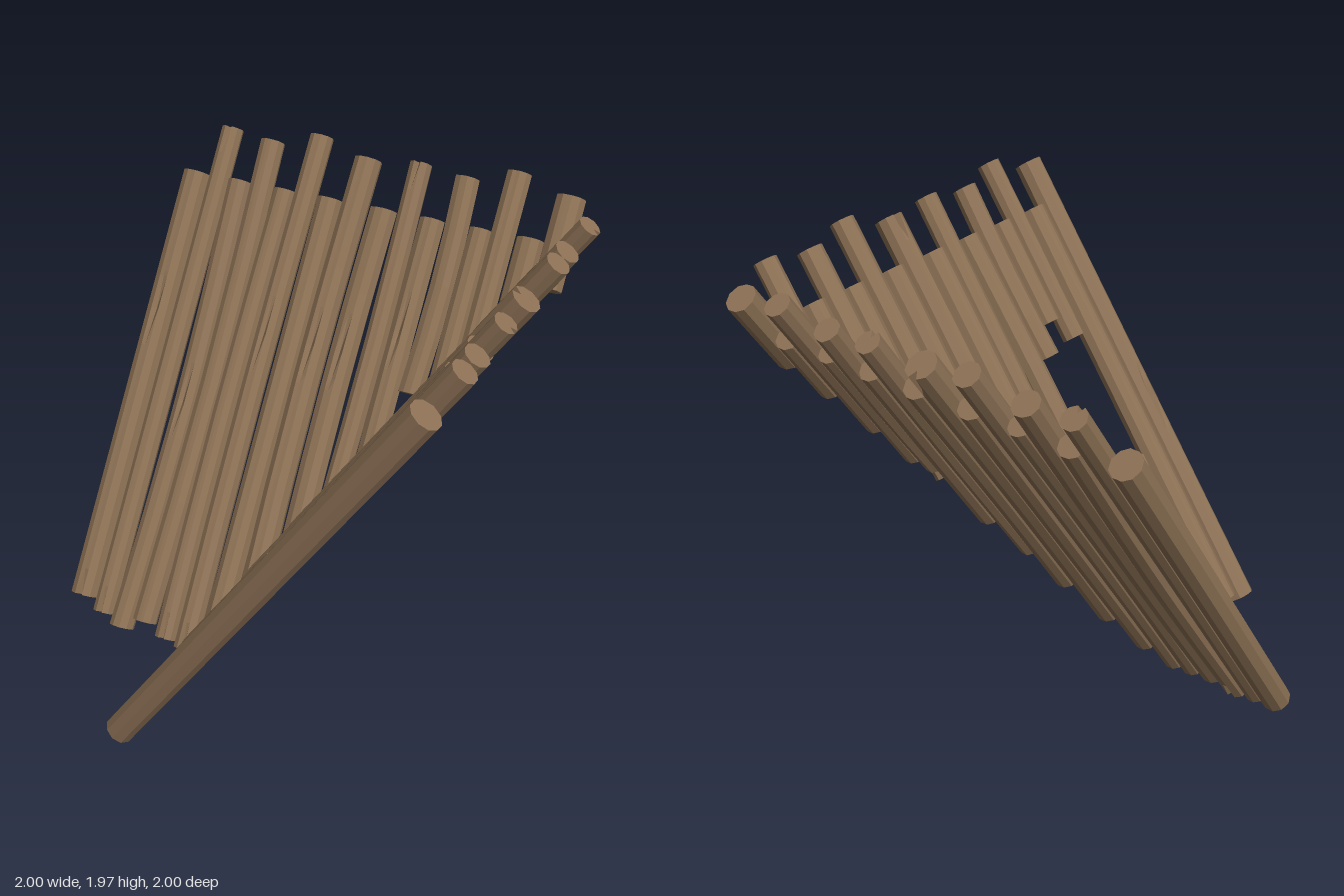
import * as THREE from 'three';

const LEAN = 0.606;            // slope of both walls from vertical
const COS = Math.cos(LEAN);

// Cross-section angles: a narrow flat strip on the outer and inner side holds the cracks
const HALF = [0, 0.3, 0.9, 1.57, 2.24, 2.84];
const ANGLES = [...HALF, ...HALF.map((a) => a + Math.PI)];

let seed = 7;
function rand() {
  seed = (seed * 16807) % 2147483647;
  return seed / 2147483647;
}

// One log along +y from lo to hi; cracks: [position, side] with side 0 = outer, 6 = inner;
// notches: [end, side] with end 'top' or 'bottom'
function logGeometry(r, lo, hi, bend, cracks, notches) {
  const len = hi - lo;
  const levels = [lo, hi];
  for (const f of [0.25, 0.5, 0.75]) levels.push(lo + len * f);
  for (const [y] of cracks) levels.push(y - 0.17, y, y + 0.17);
  for (const [end] of notches) levels.push(end === 'top' ? hi - 0.12 : lo + 0.12);
  const ys = [...new Set(levels)].filter((y) => y >= lo && y <= hi).sort((a, b) => a - b);

  // depth of a crack or notch at a given column and height
  const depth = (col, y) => {
    let d = 0;
    for (const [cy, side] of cracks) {
      if (side === col) d = Math.max(d, 0.3 * (1 - Math.abs(y - cy) / 0.17));
    }
    for (const [end, side] of notches) {
      const gap = end === 'top' ? hi - y : y - lo;
      if (side === col) d = Math.max(d, 0.55 * (1 - gap / 0.12));
    }
    return d;
  };

  const offsets = ANGLES.map(() => 0.97 + 0.06 * rand());
  const rings = ys.map((y) => {
    const cx = bend * Math.sin((Math.PI * (y - lo)) / len);
    return ANGLES.map((a, j) => {
      const flat = j % 6 === 0 ? Math.cos(0.3) : offsets[j];
      const rad = r * (flat - depth(j, y));
      return [cx + Math.sin(a) * rad, y, Math.cos(a) * rad];
    });
  });

  const pos = [];
  const tri = (...pts) => pts.forEach((p) => pos.push(...p));
  const n = ANGLES.length;
  const last = rings.length - 1;
  for (let j = 0; j < n; j++) {
    const k = (j + 1) % n;
    for (let i = 0; i < last; i++) {
      tri(rings[i][j], rings[i][k], rings[i + 1][k]);
      tri(rings[i][j], rings[i + 1][k], rings[i + 1][j]);
    }
    tri([0, lo, 0], rings[0][k], rings[0][j]);
    tri([0, hi, 0], rings[last][j], rings[last][k]);
  }
  const g = new THREE.BufferGeometry();
  g.setAttribute('position', new THREE.Float32BufferAttribute(pos, 3));
  g.computeVertexNormals();   // unshared corners keep the facets flat
  return g;
}

// Rows: [sideways position, radius, bottom height, top height, bend, cracks, notches]
const LEFT_WALL = [
  [-0.94, 0.062, 0.11, 1.725, 0, [[1.2, 0]], [['bottom', 0]]],
  [-0.825, 0.05, 0.07, 1.91, 0, [], [['top', 0], ['bottom', 0]]],
  [-0.72, 0.056, 0.04, 1.725, 0.025, [[0.9, 0]], [['bottom', 6]]],
  [-0.615, 0.055, 0.085, 1.89, 0.02, [], []],
  [-0.495, 0.05, 0.05, 1.725, -0.01, [], [['bottom', 0]]],
  [-0.39, 0.053, 0.035, 1.94, -0.01, [[1.2, 0]], [['bottom', 0]]],
  [-0.275, 0.058, 0.13, 1.725, 0, [], []],
  [-0.15, 0.062, 0.29, 1.89, -0.015, [[1.2, 0]], [['top', 6]]],
  [-0.02, 0.06, 0.48, 1.725, -0.01, [[1.2, 0]], []],
  [0.09, 0.05, 0.65, 1.91, 0.01, [], [['top', 0]]],
  [0.205, 0.056, 0.82, 1.725, 0, [[1.32, 0]], []],
  [0.31, 0.053, 1.12, 1.89, 0.015, [], []],
  [0.425, 0.05, 1.12, 1.725, 0, [], []],
  [0.525, 0.053, 1.27, 1.94, 0, [], []],
  [0.645, 0.06, 1.44, 1.725, 0, [], []],
  [0.765, 0.064, 1.57, 1.89, 0, [], []],
];

const RIGHT_WALL = [
  [0.935, 0.062, 0.05, 1.89, 0, [[0.9, 0], [0.93, 6]], []],
  [0.82, 0.06, 0.08, 1.725, 0, [], []],
  // logs interrupted by the window
  [0.7, 0.052, 0.03, 0.73, 0, [], []],
  [0.7, 0.052, 1.23, 1.94, 0, [], []],
  [0.6, 0.05, 0.07, 0.7, 0, [], []],
  [0.6, 0.05, 1.32, 1.725, 0, [], []],
  [0.495, 0.053, 0.07, 0.76, 0.01, [], []],
  [0.495, 0.053, 1.21, 1.89, -0.01, [], []],
  [0.37, 0.056, 0.07, 1.725, 0.015, [[0.78, 0], [1.3, 6]], []],
  [0.265, 0.05, 0.2, 1.91, -0.01, [], [['top', 6]]],
  [0.15, 0.06, 0.37, 1.725, 0, [], []],
  [0.02, 0.062, 0.58, 1.89, 0, [[1.1, 0], [1.3, 6]], [['top', 0]]],
  [-0.1, 0.06, 0.74, 1.725, 0, [[1.1, 0]], []],
  [-0.215, 0.053, 0.91, 1.94, 0, [], []],
  [-0.325, 0.05, 1.02, 1.725, 0, [], []],
  [-0.43, 0.055, 1.23, 1.89, 0, [], []],
  [-0.545, 0.055, 1.34, 1.725, 0, [], []],
  [-0.655, 0.049, 1.52, 1.91, 0, [], [['top', 6]]],
];

function buildWall(name, rows, material) {
  const wall = new THREE.Group();
  wall.name = name;
  const along = (y) => (y - 0.027) / COS;
  for (const [x, r, lo, hi, bend, cracks, notches] of rows) {
    const geo = logGeometry(r, along(lo), along(hi), bend,
      cracks.map(([y, side]) => [along(y), side]), notches);
    const log = new THREE.Mesh(geo, material);
    log.name = 'log';
    log.position.x = x;
    wall.add(log);
  }
  return wall;
}

export function createModel() {
  const wood = new THREE.MeshStandardMaterial({ color: 0x8b7054 });
  wood.name = 'brown wood';
  const model = new THREE.Group();
  model.name = 'logPalisadeCorner';

  // wall whose logs are spread along x and lean backwards
  const back = buildWall('backWall', LEFT_WALL, wood);
  back.position.set(0, 0.027, 0.36);
  back.rotation.set(-LEAN, 0, 0);

  // wall whose logs are spread along z and lean sideways, with a window
  const side = buildWall('windowWall', RIGHT_WALL, wood);
  side.position.set(-0.37, 0.027, 0);
  side.rotation.set(-LEAN, -Math.PI / 2, 0, 'YXZ');

  model.add(back, side);
  return model;
}
